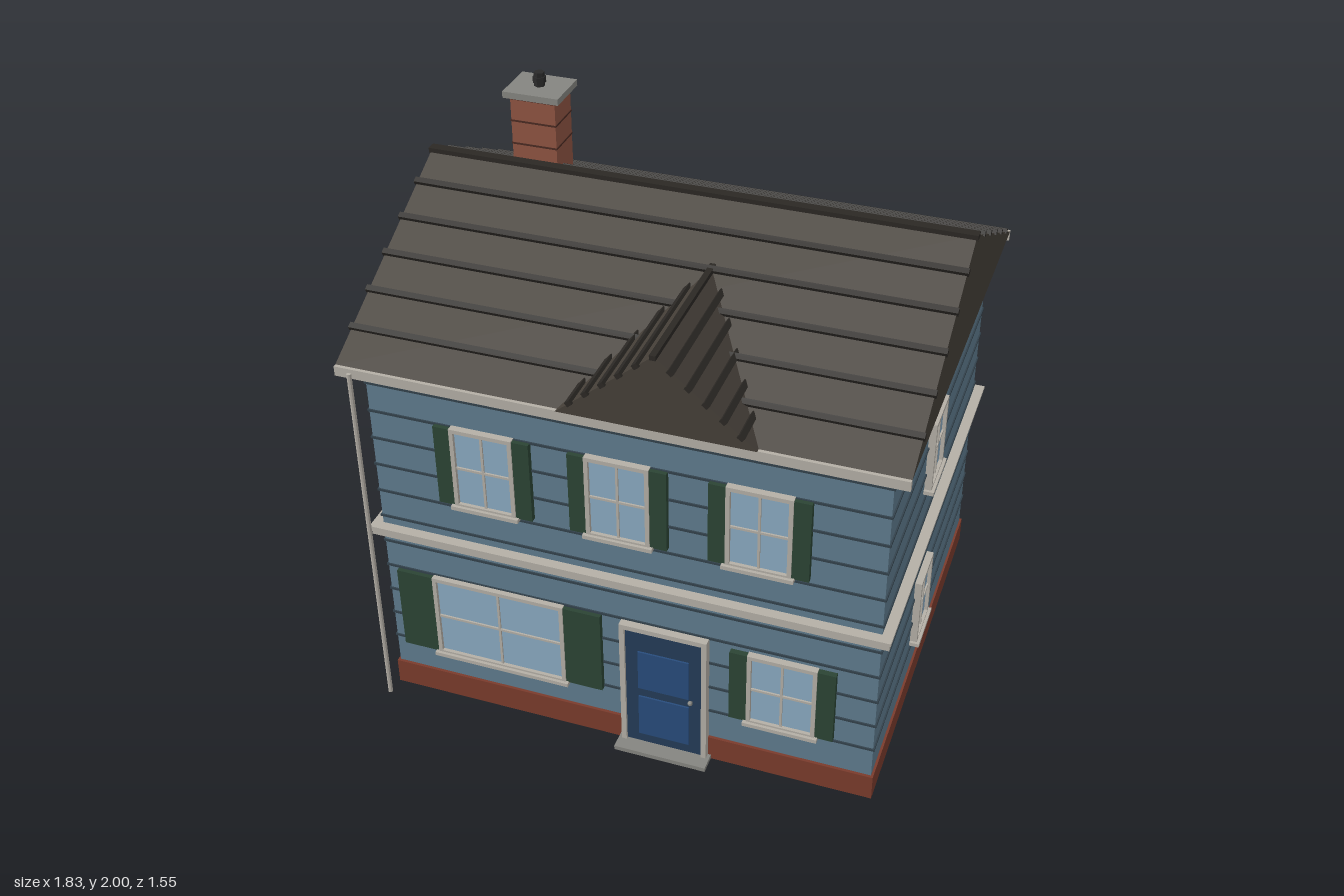
import * as THREE from 'three';

const mat = (color) => new THREE.MeshStandardMaterial({ color, flatShading: true });
const M = {
  siding: mat(0x5f7c8e), groove: mat(0x33424c), brick: mat(0x7a3b2c), chimney: mat(0x8f5442),
  mortar: mat(0x4a2a22), roof: mat(0x453f38), batten: mat(0x2b2824), trim: mat(0xb4afa6),
  glass: mat(0x8aaac2), shutter: mat(0x2b4434), door: mat(0x243c58), panel: mat(0x284c7c),
  metal: mat(0x2a2a2a), stone: mat(0x858580),
};

function add(parent, name, geometry, material, x = 0, y = 0, z = 0) {
  const mesh = new THREE.Mesh(geometry, material);
  mesh.name = name;
  mesh.position.set(x, y, z);
  parent.add(mesh);
  return mesh;
}
const box = (parent, name, material, w, h, d, x, y, z) =>
  add(parent, name, new THREE.BoxGeometry(w, h, d), material, x, y, z);

function group(parent, name) {
  const g = new THREE.Group();
  g.name = name;
  parent.add(g);
  return g;
}

// Triangular prism along z, base at y = 0, centred on its length
function prism(halfWidth, height, length) {
  const s = new THREE.Shape();
  s.moveTo(-halfWidth, 0);
  s.lineTo(halfWidth, 0);
  s.lineTo(0, height);
  s.closePath();
  return new THREE.ExtrudeGeometry(s, { depth: length, bevelEnabled: false }).translate(0, 0, -length / 2);
}

// Frame, pane, glazing bars, sill and optional shutters, facing +z with the wall at z = 0
function makeWindow(parent, name, w, h, shutterWidth = 0) {
  const g = group(parent, name);
  const t = 0.014;
  box(g, 'pane', M.glass, w - t, h - t, 0.012, 0, 0, 0.006);
  for (const s of [-1, 1]) {
    box(g, 'frameSide', M.trim, t, h, 0.024, s * (w - t) / 2, 0, 0.012);
    box(g, 'frameRail', M.trim, w, t, 0.024, 0, s * (h - t) / 2, 0.012);
    if (shutterWidth) {
      box(g, 'shutter', M.shutter, shutterWidth, h - 0.008, 0.02, s * (w + shutterWidth) / 2, 0, 0.01);
    }
  }
  box(g, 'glazingBarVertical', M.trim, 0.008, h - t, 0.01, 0, 0, 0.013);
  box(g, 'glazingBarHorizontal', M.trim, w - t, 0.008, 0.01, 0, 0, 0.013);
  box(g, 'sill', M.trim, w + 0.02, 0.014, 0.034, 0, -h / 2, 0.017);
  return g;
}

export function createModel() {
  const house = new THREE.Group();
  house.name = 'house';
  const cz = -0.008, wallX = 0.848, wallZ = 0.702, eaveY = 1.353;

  // Walls and foundation
  const walls = group(house, 'walls');
  box(walls, 'wallBody', M.siding, wallX * 2, eaveY - 0.05, wallZ * 2, 0, (eaveY + 0.05) / 2, cz);
  box(walls, 'foundation', M.brick, 1.712, 0.095, 1.424, 0, 0.0475, cz);
  for (let i = 0; i < 11; i++) {
    box(walls, 'sidingLine', M.groove, wallX * 2 + 0.01, 0.008, wallZ * 2 + 0.01, 0, 0.213 + i * 0.1055, cz);
  }
  for (const s of [-1, 1]) {
    box(walls, 'beltLong', M.trim, 1.756, 0.034, 0.03, 0, 0.69, cz + s * (wallZ + 0.014));
    box(walls, 'beltShort', M.trim, 0.03, 0.034, 1.46, s * (wallX + 0.014), 0.69, cz);
    box(walls, 'beltCapLong', M.trim, 1.764, 0.01, 0.036, 0, 0.703, cz + s * (wallZ + 0.017));
    box(walls, 'beltCapShort', M.trim, 0.036, 0.01, 1.47, s * (wallX + 0.017), 0.703, cz);
  }

  // Main roof with battens across both slopes
  const roof = group(house, 'roof');
  const run = 0.758, rise = 0.387, cx = -0.004;
  add(roof, 'roofBody', prism(run, rise, 1.822), M.roof, cx, eaveY, cz).rotation.y = Math.PI / 2;
  const pitch = Math.atan2(rise, run);
  box(roof, 'ridgeCap', M.batten, 1.834, 0.018, 0.034, cx, eaveY + rise - 0.002, cz);
  for (const s of [-1, 1]) {
    for (let i = 1; i <= 5; i++) {
      const d = i * 0.127;
      const b = box(roof, 'batten', M.batten, 1.834, 0.018, 0.02,
        cx, eaveY + rise * (1 - d / run) + 0.005, cz + s * d);
      b.rotation.x = s * pitch;
    }
    box(roof, 'gutter', M.trim, 1.822, 0.034, 0.016, cx, eaveY - 0.016, cz + s * 0.76);
  }

  // Small front gable, running back into the main roof
  const gable = group(house, 'frontGable');
  const gx = 0.14, gRun = 0.316, gRise = 0.262, gFront = 0.762;
  add(gable, 'gableBody', prism(gRun, gRise, gFront - 0.1), M.roof, gx, eaveY, (gFront + 0.1) / 2);
  const gPitch = Math.atan2(gRise, gRun);
  const gableBatten = (x, y, tilt) => {
    const back = cz + run * (1 - (y - eaveY) / rise) - 0.02;
    const length = 0.772 - back;
    box(gable, 'gableBatten', M.batten, 0.02, 0.016, length, gx + x, y, back + length / 2).rotation.z = tilt;
  };
  gableBatten(0, eaveY + gRise, 0);
  for (const s of [-1, 1]) {
    for (let i = 1; i <= 5; i++) {
      const d = i * 0.0535;
      gableBatten(s * d, eaveY + gRise * (1 - d / gRun) + 0.004, -s * gPitch);
    }
  }

  // Chimney
  const chimney = group(house, 'chimney');
  chimney.position.set(-0.58, 0, -0.15);
  box(chimney, 'stack', M.chimney, 0.156, 0.39, 0.132, 0, 1.735, 0);
  for (const y of [1.765, 1.846, 1.924]) box(chimney, 'mortarLine', M.mortar, 0.16, 0.006, 0.136, 0, y, 0);
  box(chimney, 'cap', M.stone, 0.194, 0.022, 0.166, 0, 1.941, 0);
  add(chimney, 'flue', new THREE.CylinderGeometry(0.018, 0.018, 0.05, 6), M.metal, 0, 1.975, 0);
  add(chimney, 'flueCollar', new THREE.CylinderGeometry(0.022, 0.022, 0.022, 6), M.metal, 0, 1.974, 0);

  // Front windows: x, y, width, height, shutter width
  const frontZ = cz + wallZ;
  for (const [x, y, w, h, sw] of [
    [-0.457, 1.015, 0.212, 0.305, 0.056], [-0.005, 1.015, 0.212, 0.305, 0.056],
    [0.452, 1.015, 0.212, 0.305, 0.056], [-0.443, 0.364, 0.47, 0.332, 0.13],
    [0.541, 0.365, 0.232, 0.292, 0.06],
  ]) makeWindow(house, 'frontWindow', w, h, sw).position.set(x, y, frontZ);

  // Left side and back windows
  for (const y of [1.018, 0.363]) {
    const side = makeWindow(house, 'sideWindow', 0.18, 0.264);
    side.position.set(wallX, y, 0.09);
    side.rotation.y = Math.PI / 2;
  }
  for (const x of [-0.208, 0.216]) {
    const back = makeWindow(house, 'backWindow', 0.2, 0.264);
    back.position.set(x, 1.018, cz - wallZ);
    back.rotation.y = Math.PI;
  }

  // Front door
  const door = group(house, 'frontDoor');
  door.position.set(0.142, 0, frontZ);
  box(door, 'doorLeaf', M.door, 0.27, 0.5, 0.02, 0, 0.262, 0.012);
  box(door, 'topPanel', M.panel, 0.176, 0.16, 0.008, 0, 0.342, 0.024);
  box(door, 'bottomPanel', M.panel, 0.176, 0.17, 0.008, 0, 0.14, 0.024);
  for (const s of [-1, 1]) box(door, 'doorJamb', M.trim, 0.018, 0.526, 0.032, s * 0.141, 0.263, 0.016);
  box(door, 'doorHead', M.trim, 0.3, 0.018, 0.032, 0, 0.519, 0.016);
  add(door, 'knob', new THREE.SphereGeometry(0.009, 8, 6), M.stone, 0.096, 0.255, 0.034);
  box(door, 'step', M.stone, 0.322, 0.016, 0.076, 0, 0.008, 0.038);

  // Downspout at the front corner
  add(house, 'downspout', new THREE.CylinderGeometry(0.008, 0.008, 1.34, 8), M.trim, -0.862, 0.67, 0.764);
  return house;
}
